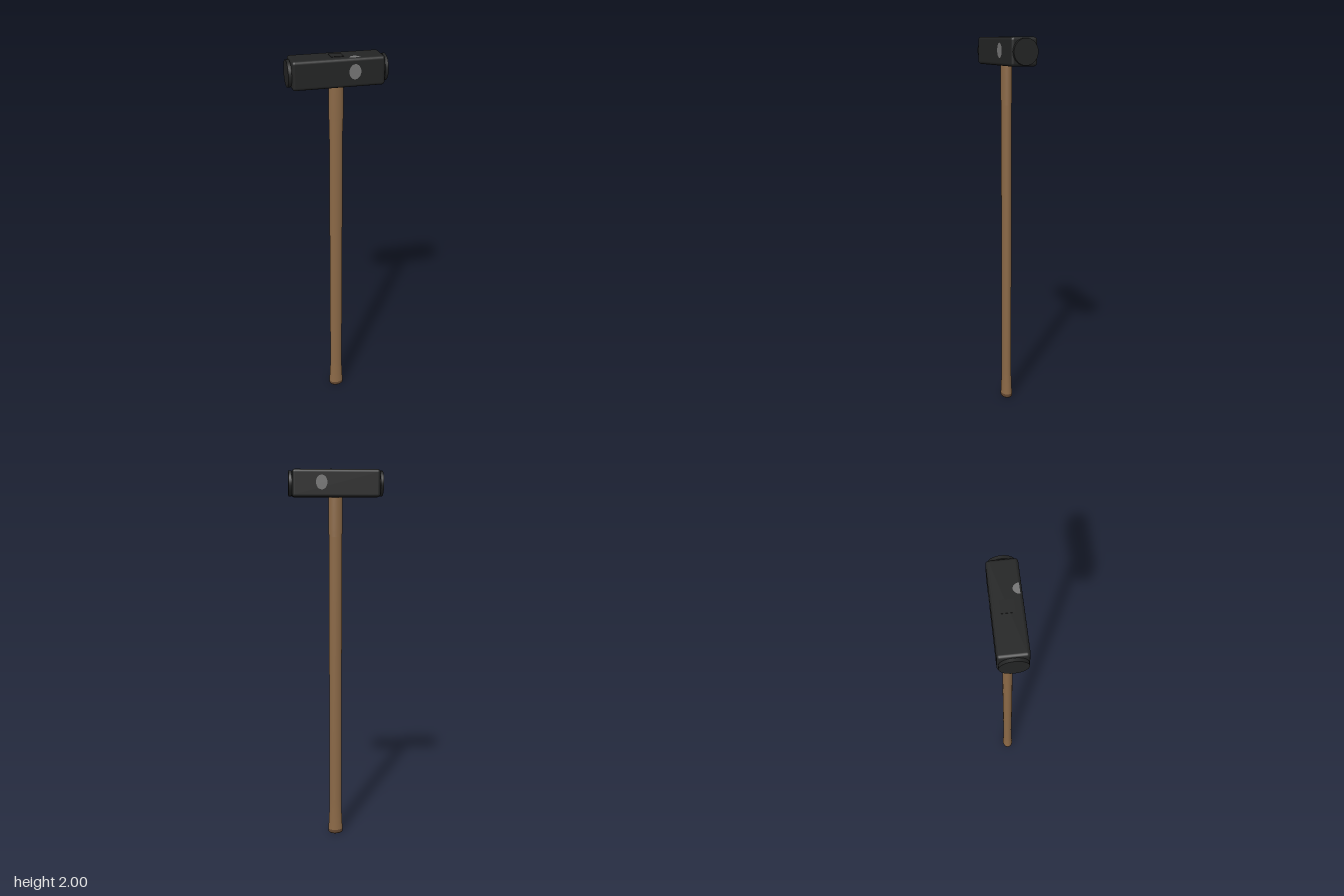
import * as THREE from 'three';
import { RoundedBoxGeometry } from 'three/addons/geometries/RoundedBoxGeometry.js';

const HEAD_Y = 1.929;

export function createModel() {
  const model = new THREE.Group();
  model.name = 'sledgehammer';
  const steel = new THREE.MeshStandardMaterial({ name: 'black steel', color: 0x232424 });
  const worn = new THREE.MeshStandardMaterial({ name: 'worn grey', color: 0x747474 });
  const wood = new THREE.MeshStandardMaterial({ name: 'wood', color: 0x8a6846 });
  const darkWood = new THREE.MeshStandardMaterial({ name: 'dark wood', color: 0x624731 });

  function add(name, geometry, material, x = 0, y = 0, z = 0) {
    const mesh = new THREE.Mesh(geometry, material);
    mesh.name = name;
    mesh.position.set(x, y, z);
    model.add(mesh);
    return mesh;
  }

  // Oval turned section, from [half width, height] points
  function oval(points) {
    const geometry = new THREE.LatheGeometry(points.map(([r, y]) => new THREE.Vector2(r, y)), 32);
    geometry.scale(1, 1, 0.76);
    return geometry;
  }

  // Handle: dark foot, flared grip, long shaft and thicker neck
  add('handleFoot', oval([[0, 0], [0.036, 0], [0.041, 0.006], [0.0405, 0.022]]), darkWood);
  add('handleShaft', oval([
    [0.0405, 0.022], [0.038, 0.06], [0.035, 0.13], [0.034, 0.2],
    [0.034, 1.66], [0.0365, 1.69], [0.0365, 1.88],
  ]), wood);

  // Head block and the wedge plate over the handle eye
  add('headBlock', new RoundedBoxGeometry(0.448, 0.138, 0.138, 3, 0.015), steel, 0, HEAD_Y);
  add('wedge', new THREE.BoxGeometry(0.062, 0.012, 0.06), steel, 0, 1.994);

  // Round striking faces, each on a recessed neck
  for (const side of [-1, 1]) {
    const label = side > 0 ? 'left' : 'right';
    const neck = new THREE.CylinderGeometry(0.056, 0.056, 0.02, 32).rotateZ(Math.PI / 2);
    add(label + 'Neck', neck, steel, side * 0.22, HEAD_Y);
    const face = new THREE.CylinderGeometry(0.064, 0.064, 0.016, 32).rotateZ(Math.PI / 2);
    add(label + 'StrikingFace', face, steel, side * 0.233, HEAD_Y);
  }

  // Worn patches on the front, back and top
  const patch = () => new THREE.CircleGeometry(1, 28).scale(0.029, 0.036, 1);
  add('frontWear', patch(), worn, 0.076, 1.934, 0.0697);
  add('backWear', patch().rotateY(Math.PI), worn, 0.076, 1.934, -0.0697);
  const half = new THREE.CircleGeometry(1, 24, 0, Math.PI).scale(0.026, 0.029, 1).rotateX(-Math.PI / 2);
  add('topWear', half, worn, 0.077, 1.9987, 0.059);

  return model;
}
